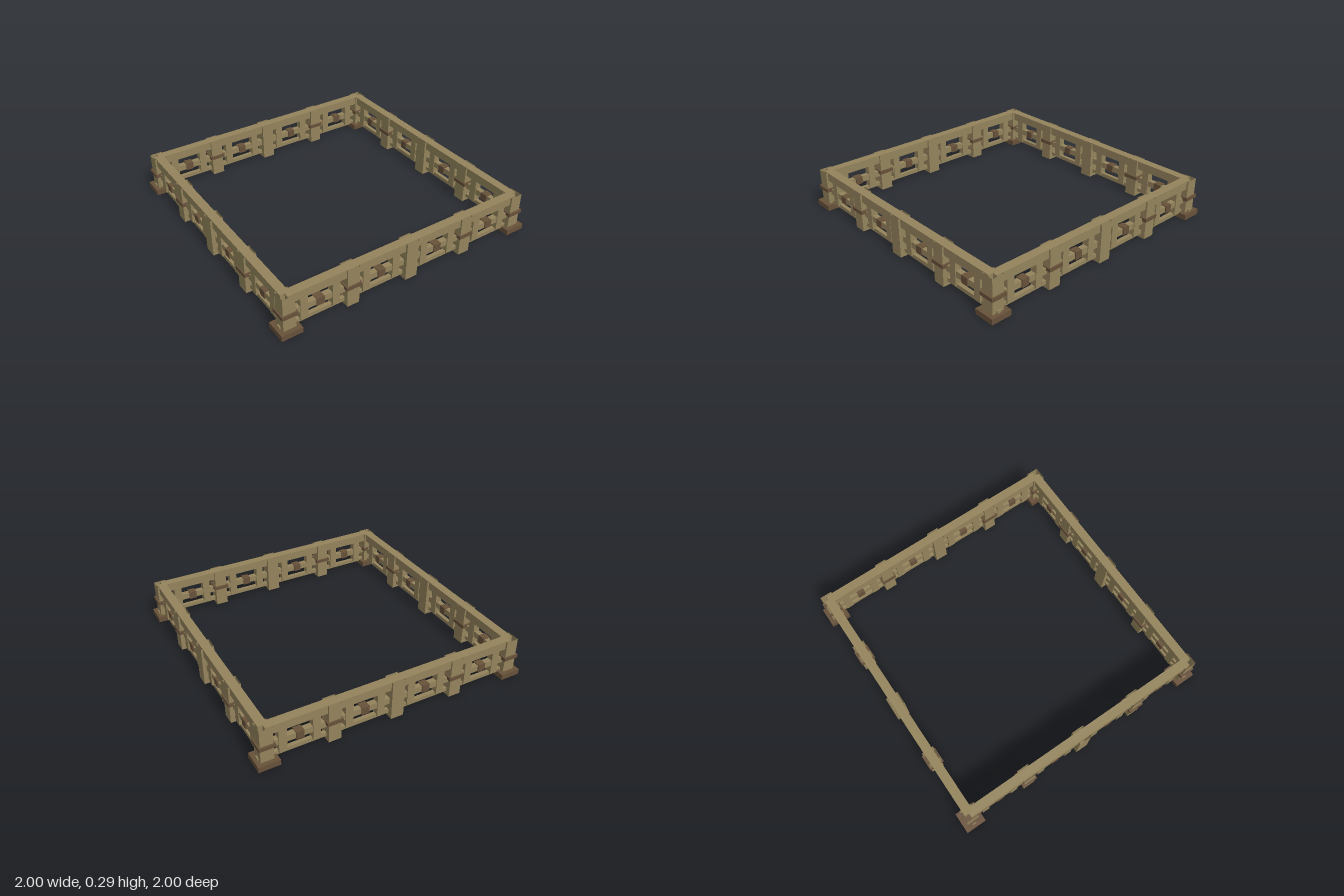
import * as THREE from 'three';

const wood = new THREE.MeshStandardMaterial({ color: 0x94845c, side: THREE.DoubleSide });
wood.name = 'weathered wood';
const darkWood = new THREE.MeshStandardMaterial({ color: 0x68513a });
darkWood.name = 'dark wood';

const EDGE = 0.925; // distance of each fence line from the middle
const TOP = 0.288;

// Box given by its centre in x and z and by its bottom and top heights
function block(parent, name, material, x, z, y0, y1, w, d) {
  const mesh = new THREE.Mesh(new THREE.BoxGeometry(w, y1 - y0, d), material);
  mesh.name = name;
  mesh.position.set(x, (y0 + y1) / 2, z);
  parent.add(mesh);
}

// Square post, open at the top so that the rails show inside it
function post(parent, name, x, z, size) {
  const group = new THREE.Group();
  group.name = name;
  group.position.set(x, 0, z);
  const walls = new THREE.Mesh(
    new THREE.CylinderGeometry(size * Math.SQRT1_2, size * Math.SQRT1_2, TOP, 4, 1, true, Math.PI / 4).toNonIndexed(),
    wood
  );
  walls.geometry.computeVertexNormals();
  walls.name = 'postWalls';
  walls.position.y = TOP / 2;
  group.add(walls);
  block(group, 'postFloor', wood, 0, 0, 0, 0.01, size - 0.002, size - 0.002);
  parent.add(group);
}

// One run of fence along x, centred on the origin
function fenceSide(name, lowerRailLength) {
  const side = new THREE.Group();
  side.name = name;

  block(side, 'topRail', wood, 0, 0, 0.225, TOP, EDGE * 2, 0.065);
  block(side, 'middleRail', wood, 0, 0, 0.11, 0.155, EDGE * 2, 0.04);
  block(side, 'lowerRail', wood, 0, 0, 0.03, 0.058, lowerRailLength, 0.028);

  // Posts between the corners, the outer two with a band
  for (const x of [-0.462, 0, 0.462]) {
    post(side, 'middlePost', x, 0, x === 0 ? 0.094 : 0.09);
    if (x !== 0) block(side, 'postBand', darkWood, x, 0, 0.137, 0.163, 0.113, 0.108);
  }

  // Panels with two uprights and a collar on the middle rail
  for (const x of [-0.693, -0.231, 0.231, 0.693]) {
    for (const s of [-1, 1]) {
      block(side, 'upright', wood, x + s * 0.116, 0, 0.045, 0.23, 0.055, 0.05);
    }
    block(side, 'railCollar', darkWood, x, 0, 0.105, 0.161, 0.056, 0.056);
  }
  return side;
}

export function createModel() {
  const model = new THREE.Group();
  model.name = 'squareFence';

  // Four sides
  ['frontSide', 'leftSide', 'backSide', 'rightSide'].forEach((name, i) => {
    const angle = (i * Math.PI) / 2;
    const side = fenceSide(name, i % 2 === 0 ? 1.96 : EDGE * 2);
    side.rotation.y = angle;
    side.position.set(Math.sin(angle) * EDGE, 0, Math.cos(angle) * EDGE);
    model.add(side);
  });

  // Four corners
  for (const sx of [-1, 1]) {
    for (const sz of [-1, 1]) {
      const corner = new THREE.Group();
      corner.name = 'corner';
      corner.position.set(sx * EDGE, 0, sz * EDGE);
      post(corner, 'cornerPost', 0, 0, 0.09);
      block(corner, 'cornerFoot', darkWood, 0, 0, 0, 0.04, 0.15, 0.15);
      block(corner, 'cornerBand', darkWood, 0, 0, 0.137, 0.163, 0.113, 0.113);
      model.add(corner);
    }
  }
  return model;
}
